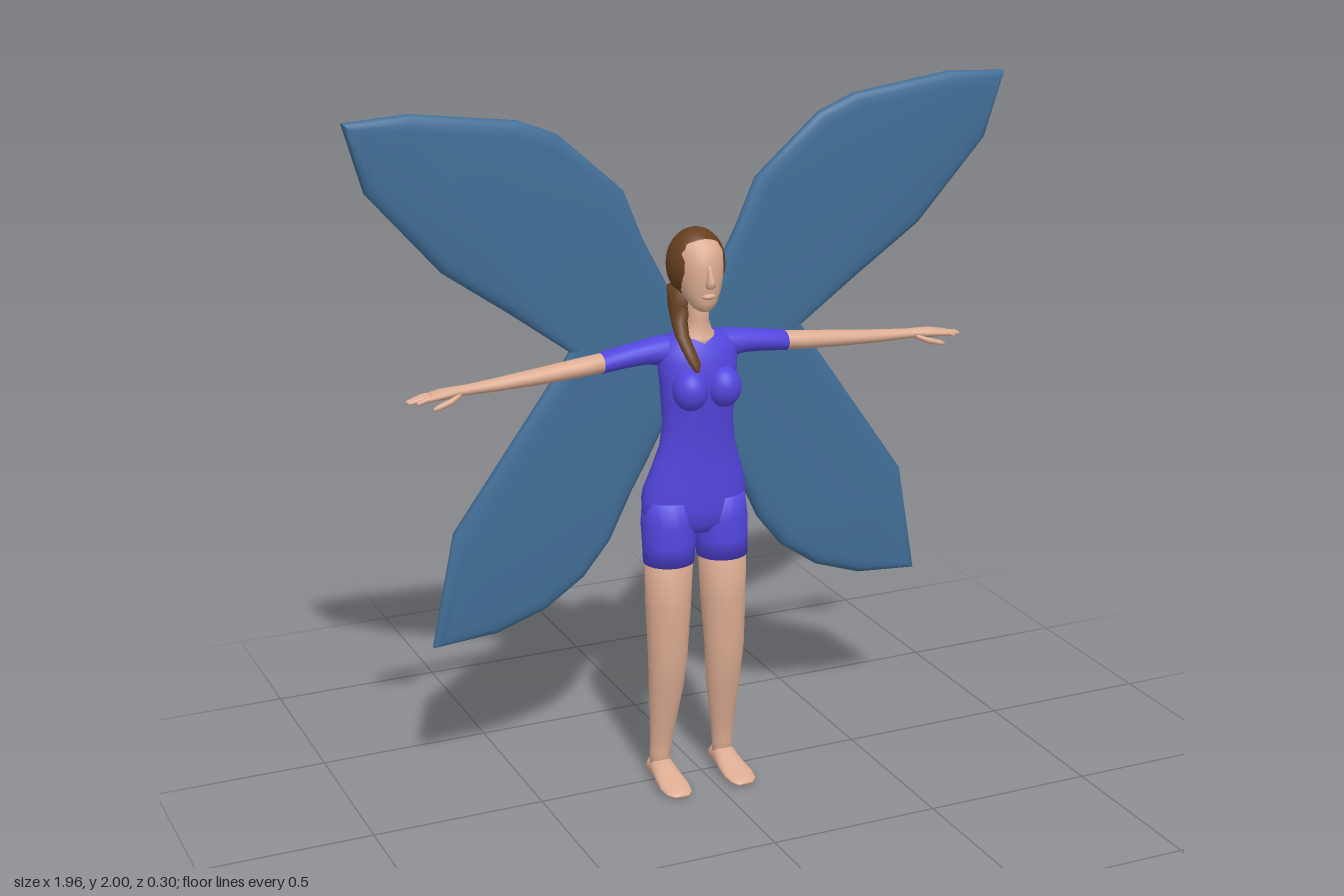
import * as THREE from 'three';
import { toCreasedNormals } from 'three/addons/utils/BufferGeometryUtils.js';

const mat = (name, color) => {
  const m = new THREE.MeshStandardMaterial({ color });
  m.name = name;
  return m;
};

// Closed skin through elliptical rings [t, centreA, centreB, radiusA, radiusB].
// axis y: A = x, B = z; axis x: A = z, B = y; axis z: A = y, B = x. side -1 mirrors in x.
function loft(rings, axis = 'y', side = 1, n = 20) {
  const pos = [], idx = [];
  const put = (u, t, w) => {
    const p = axis === 'y' ? [u, t, w] : axis === 'x' ? [t, w, u] : [w, u, t];
    pos.push(p[0] * side, p[1], p[2]);
  };
  const tri = (a, b, c) => (side > 0 ? idx.push(a, b, c) : idx.push(a, c, b));
  for (const [t, a, b, ra, rb] of rings) {
    for (let i = 0; i < n; i++) {
      const q = (i / n) * Math.PI * 2;
      put(a + ra * Math.cos(q), t, b + rb * Math.sin(q));
    }
  }
  for (let r = 0; r < rings.length - 1; r++) {
    for (let i = 0; i < n; i++) {
      const a = r * n + i, b = r * n + (i + 1) % n;
      tri(a, a + n, b);
      tri(b, a + n, b + n);
    }
  }
  const first = rings[0], last = rings[rings.length - 1];
  const c0 = rings.length * n, top = c0 - n;
  put(first[1], first[0], first[2]);
  put(last[1], last[0], last[2]);
  for (let i = 0; i < n; i++) {
    const j = (i + 1) % n;
    tri(c0, i, j);
    tri(c0 + 1, top + j, top + i);
  }
  const g = new THREE.BufferGeometry();
  g.setAttribute('position', new THREE.Float32BufferAttribute(pos, 3));
  g.setIndex(idx);
  g.computeVertexNormals();
  return g;
}

// Rings given as [y, halfWidth, zFront, zBack]
const bodyRings = rows => rows.map(([y, w, f, b]) => [y, 0, (f + b) / 2, w, (f - b) / 2]);

function ellipsoid(rx, ry, rz, x, y, z) {
  return new THREE.SphereGeometry(1, 24, 18).scale(rx, ry, rz).translate(x, y, z);
}

// One pair of wings on a side, joined at the root, leaning forward at the top
function wingGeometry(side) {
  const outline = [
    [0.98, 1.99], [0.8, 2.0], [0.5, 1.96], [0.39, 1.915], [0.2, 1.745], [0.14, 1.6], [0.06, 1.45],
    [0.035, 1.34], [0.03, 1.24], [0.04, 1.14], [0.07, 1.05], [0.12, 0.95], [0.167, 0.865],
    [0.235, 0.72], [0.315, 0.62], [0.43, 0.54], [0.575, 0.49], [0.765, 0.475], [0.7, 0.81],
    [0.39, 1.245], [0.355, 1.3], [0.53, 1.43], [0.72, 1.565], [0.925, 1.8],
  ];
  const shape = new THREE.Shape(outline.map(([x, y]) => new THREE.Vector2(x * side, y)));
  const g = new THREE.ExtrudeGeometry(shape, {
    depth: 0.012, bevelEnabled: true, bevelThickness: 0.018, bevelSize: 0.04, bevelOffset: -0.04, bevelSegments: 3,
  });
  const p = g.attributes.position;
  for (let i = 0; i < p.count; i++) p.setZ(i, p.getZ(i) - 0.101 + 0.043 * (p.getY(i) - 1.3));
  return toCreasedNormals(g, 0.9);
}

export function createModel() {
  const model = new THREE.Group();
  model.name = 'wingedFigure';
  const skin = mat('skin', 0xdcac92);
  const suit = mat('suit', 0x5346de);
  const hair = mat('hair', 0x663f1f);
  const wing = mat('wing', 0x426f98);

  const figure = new THREE.Group();
  figure.name = 'figure';
  figure.position.x = -0.025;
  model.add(figure);
  const add = (name, geometry, material, parent = figure) => {
    const m = new THREE.Mesh(geometry, material);
    m.name = name;
    parent.add(m);
    return m;
  };

  // Torso and neck
  add('torso', loft(bodyRings([
    [0.77, 0.09, 0.06, -0.045], [0.8, 0.145, 0.083, -0.065], [0.84, 0.158, 0.087, -0.073],
    [0.88, 0.157, 0.088, -0.075], [0.92, 0.149, 0.088, -0.066], [0.97, 0.132, 0.088, -0.05],
    [1.03, 0.113, 0.091, -0.035], [1.1, 0.104, 0.098, -0.032], [1.16, 0.109, 0.108, -0.037],
    [1.22, 0.113, 0.113, -0.042], [1.28, 0.118, 0.103, -0.045], [1.315, 0.112, 0.09, -0.045],
    [1.34, 0.09, 0.075, -0.042], [1.352, 0.062, 0.062, -0.032],
  ]), 'y', 1, 32), suit);
  add('neck', loft(bodyRings([
    [1.315, 0.07, 0.088, -0.03], [1.343, 0.058, 0.075, -0.025], [1.362, 0.04, 0.07, -0.012],
    [1.39, 0.031, 0.068, -0.004], [1.48, 0.032, 0.07, -0.01],
  ])), skin);

  // Head, face and hair
  add('head', loft(bodyRings([
    [1.424, 0.016, 0.092, 0.05], [1.432, 0.028, 0.102, 0.04], [1.45, 0.042, 0.109, 0.02],
    [1.48, 0.056, 0.113, -0.01], [1.515, 0.065, 0.115, -0.03], [1.55, 0.068, 0.115, -0.04],
    [1.585, 0.066, 0.11, -0.04], [1.61, 0.055, 0.09, -0.03], [1.63, 0.03, 0.06, 0],
  ]), 'y', 1, 28), skin);
  add('nose', loft(bodyRings([
    [1.494, 0.009, 0.122, 0.1], [1.502, 0.014, 0.139, 0.1], [1.515, 0.011, 0.136, 0.1],
    [1.54, 0.007, 0.124, 0.1], [1.56, 0.006, 0.113, 0.1],
  ]), 'y', 1, 12), skin);
  add('lips', ellipsoid(0.02, 0.009, 0.012, 0, 1.471, 0.107), skin);
  add('hairCap', ellipsoid(0.083, 0.1, 0.08, 0, 1.546, 0.02), hair);
  // Hair gathered at the nape and brought forward over the right shoulder
  add('ponytail', loft([
    [1.262, -0.036, 0.112, 0.006, 0.006], [1.285, -0.04, 0.105, 0.017, 0.013],
    [1.32, -0.05, 0.083, 0.019, 0.016], [1.355, -0.057, 0.055, 0.02, 0.02],
    [1.39, -0.05, 0.02, 0.023, 0.027], [1.43, -0.035, 0, 0.038, 0.036], [1.48, -0.02, 0, 0.055, 0.045],
  ]), hair);

  for (const s of [1, -1]) {
    const tag = s > 0 ? 'left' : 'right';
    add(tag + 'Bust', ellipsoid(0.05, 0.058, 0.052, s * 0.05, 1.207, 0.095), suit);
    add(tag + 'Seat', ellipsoid(0.073, 0.085, 0.055, s * 0.07, 0.86, -0.03), suit);

    // Legs
    add(tag + 'ShortsLeg', loft([
      [0.685, 0.083, 0.018, 0.074, 0.07], [0.74, 0.081, 0.015, 0.077, 0.074],
      [0.8, 0.08, 0.009, 0.079, 0.079], [0.87, 0.076, 0.005, 0.076, 0.078],
    ], 'y', s), suit);
    add(tag + 'Leg', loft([
      [0.03, 0.1, -0.014, 0.03, 0.027], [0.08, 0.1, -0.014, 0.031, 0.026], [0.14, 0.097, -0.007, 0.035, 0.029],
      [0.2, 0.094, 0, 0.042, 0.035], [0.3, 0.09, 0.012, 0.052, 0.046], [0.4, 0.089, 0.022, 0.058, 0.053],
      [0.55, 0.086, 0.019, 0.066, 0.062], [0.7, 0.083, 0.018, 0.071, 0.066],
    ], 'y', s), skin);
    add(tag + 'Foot', loft([
      [-0.056, 0.024, 0.1, 0.014, 0.018], [-0.045, 0.028, 0.1, 0.028, 0.032], [0, 0.034, 0.1, 0.034, 0.035],
      [0.05, 0.022, 0.1, 0.022, 0.041], [0.1, 0.014, 0.102, 0.014, 0.045], [0.135, 0.01, 0.102, 0.01, 0.038],
      [0.15, 0.007, 0.1, 0.005, 0.022],
    ], 'z', s), skin);

    // Arms
    add(tag + 'Sleeve', loft([
      [0.06, 0.012, 1.3, 0.045, 0.045], [0.1, 0.01, 1.306, 0.046, 0.042], [0.15, 0.01, 1.306, 0.041, 0.034],
      [0.21, 0.01, 1.3, 0.039, 0.031], [0.278, 0.01, 1.291, 0.036, 0.029],
    ], 'x', s), suit);
    add(tag + 'Arm', loft([
      [0.26, 0.01, 1.292, 0.033, 0.027], [0.35, 0.01, 1.284, 0.031, 0.026], [0.45, 0.01, 1.276, 0.028, 0.023],
      [0.58, 0.012, 1.268, 0.023, 0.018], [0.67, 0.015, 1.265, 0.018, 0.014], [0.7, 0.018, 1.265, 0.021, 0.014],
      [0.74, 0.02, 1.263, 0.028, 0.014], [0.772, 0.021, 1.26, 0.026, 0.011],
    ], 'x', s), skin);
    [0.82, 0.837, 0.835, 0.815].forEach((tip, i) => {
      const z = 0.002 + 0.013 * i;
      add(tag + 'Finger' + (i + 1), loft([
        [0.75, z, 1.261, 0.007, 0.008], [0.79, z, 1.258, 0.007, 0.007], [tip - 0.006, z, 1.252, 0.006, 0.006],
        [tip, z, 1.251, 0.003, 0.003],
      ], 'x', s, 10), skin);
    });
    add(tag + 'Thumb', loft([
      [0.69, 0.03, 1.258, 0.009, 0.008], [0.72, 0.043, 1.246, 0.01, 0.009],
      [0.76, 0.05, 1.236, 0.008, 0.008], [0.772, 0.051, 1.233, 0.004, 0.004],
    ], 'x', s, 10), skin);

    // Wings
    add(tag + 'Wings', wingGeometry(s), wing, model);
  }
  return model;
}
